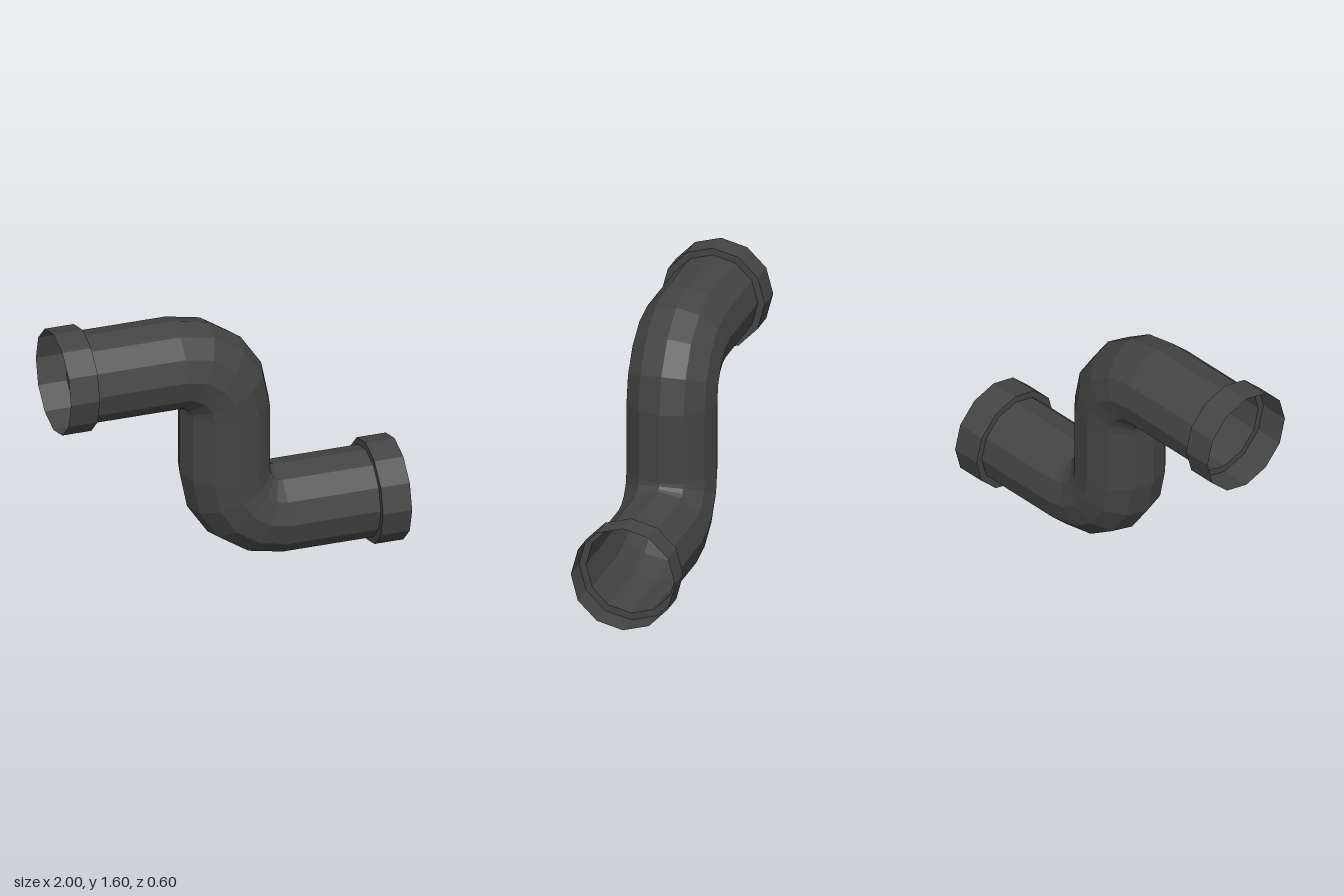
import * as THREE from 'three';

const SIDES = 12, PIPE_R = 0.26, COLLAR_R = 0.3, BEND_R = 0.3, BEND_STEPS = 4;
const COLLAR_START = 0.83, COLLAR_END = 1;

// Centre line stations: position and the in-plane angle of the cross-section
function pipeStations() {
  const stations = [{ x: -COLLAR_START, y: 1.3, angle: Math.PI / 2 }];
  for (let i = 0; i <= BEND_STEPS; i++) {
    const t = (Math.PI / 2) * (1 - i / BEND_STEPS);
    stations.push({ x: -0.3 + BEND_R * Math.cos(t), y: 1 + BEND_R * Math.sin(t), angle: t });
  }
  for (let i = 0; i <= BEND_STEPS; i++) {
    const t = (Math.PI / 2) * (i / BEND_STEPS);
    stations.push({ x: 0.3 - BEND_R * Math.cos(t), y: 0.6 - BEND_R * Math.sin(t), angle: t });
  }
  stations.push({ x: COLLAR_START, y: 0.3, angle: Math.PI / 2 });
  return stations;
}

// Open tube skinned over a ring at each station
function pipeGeometry() {
  const positions = [], indices = [];
  const stations = pipeStations();
  stations.forEach(({ x, y, angle }, i) => {
    for (let j = 0; j < SIDES; j++) {
      const a = (j / SIDES) * Math.PI * 2;
      const out = PIPE_R * Math.cos(a);
      positions.push(x + out * Math.cos(angle), y + out * Math.sin(angle), PIPE_R * Math.sin(a));
      if (i === stations.length - 1) continue;
      const p = i * SIDES + j, q = i * SIDES + (j + 1) % SIDES;
      indices.push(p, q, p + SIDES, q, q + SIDES, p + SIDES);
    }
  });
  const geometry = new THREE.BufferGeometry();
  geometry.setAttribute('position', new THREE.Float32BufferAttribute(positions, 3));
  geometry.setIndex(indices);
  geometry.computeVertexNormals();
  return geometry;
}

export function createModel() {
  const group = new THREE.Group();
  group.name = 'pipeOffset';
  const material = new THREE.MeshStandardMaterial({
    color: 0x444444, flatShading: true, side: THREE.DoubleSide,
  });

  const pipe = new THREE.Mesh(pipeGeometry(), material);
  pipe.name = 'pipe';
  group.add(pipe);

  // Open socket collars: a step out from the pipe, then a short wider sleeve
  const profile = [
    new THREE.Vector2(PIPE_R, COLLAR_START),
    new THREE.Vector2(COLLAR_R, COLLAR_START),
    new THREE.Vector2(COLLAR_R, COLLAR_END),
  ];
  const collarGeometry = new THREE.LatheGeometry(profile, SIDES).rotateZ(-Math.PI / 2);
  for (const [name, y, turn] of [['lowerCollar', 0.3, 0], ['upperCollar', 1.3, Math.PI]]) {
    const collar = new THREE.Mesh(collarGeometry, material);
    collar.name = name;
    collar.position.y = y;
    collar.rotation.y = turn;
    group.add(collar);
  }
  return group;
}
